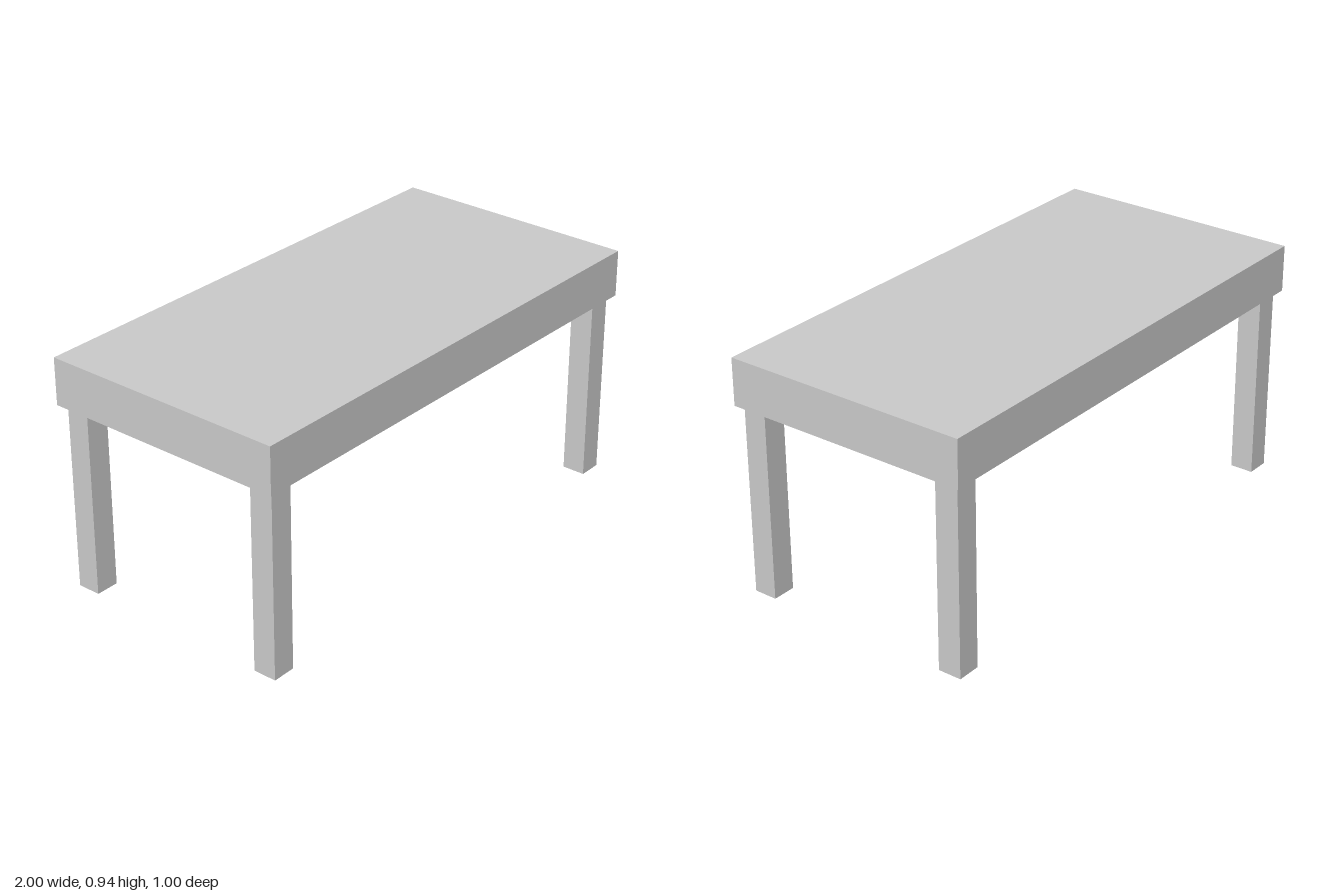
import * as THREE from 'three';

const TOP_BOTTOM = 0.75;
const TOP_HEIGHT = 0.186;
const LEG_WIDTH = 0.094;

export function createModel() {
  const group = new THREE.Group();
  group.name = 'table';
  const material = new THREE.MeshStandardMaterial({ color: 0xcccccc, flatShading: true });

  function addBox(name, w, h, d, x, y, z) {
    const mesh = new THREE.Mesh(new THREE.BoxGeometry(w, h, d), material);
    mesh.name = name;
    mesh.position.set(x, y, z);
    group.add(mesh);
  }

  // Thick slab top
  addBox('tableTop', 2, TOP_HEIGHT, 0.995, 0, TOP_BOTTOM + TOP_HEIGHT / 2, 0);

  // Four square legs, set slightly off centre under the top
  for (const [side, x] of [['Right', -0.92], ['Left', 0.932]]) {
    for (const [end, z] of [['front', 0.423], ['back', -0.431]]) {
      addBox(`${end}${side}Leg`, LEG_WIDTH, TOP_BOTTOM, LEG_WIDTH, x, TOP_BOTTOM / 2, z);
    }
  }

  return group;
}
